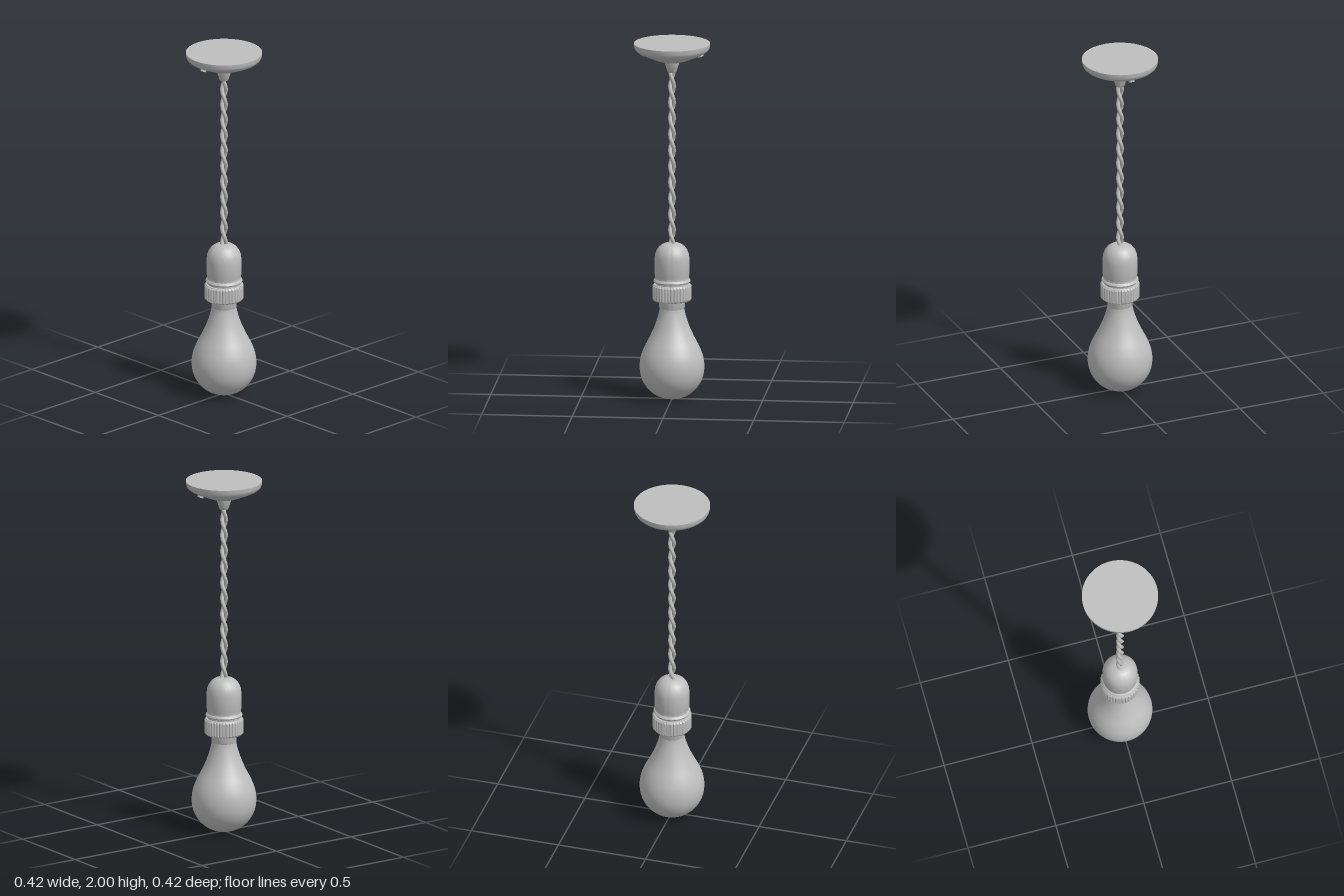
import * as THREE from 'three';
import { toCreasedNormals } from 'three/addons/utils/BufferGeometryUtils.js';

const grey = new THREE.MeshStandardMaterial({ color: 0xbebebe });
grey.name = 'plain grey';

const V2 = (p) => new THREE.Vector2(p[0], p[1]);

function part(name, geometry) {
  const mesh = new THREE.Mesh(geometry, grey);
  mesh.name = name;
  return mesh;
}

// Turned part, profile given from bottom to top as [radius, height]
function turned(name, profile, segments = 64) {
  const geometry = new THREE.LatheGeometry(profile.map(V2), segments);
  return part(name, toCreasedNormals(geometry, 0.6));
}

// Glass bulb: a smooth spline from the bottom tip to the neck
function makeBulb() {
  const points = [
    [0, 0], [0.05, 0.007], [0.1, 0.03], [0.142, 0.07], [0.169, 0.122], [0.178, 0.18],
    [0.171, 0.238], [0.151, 0.292], [0.124, 0.345], [0.101, 0.395], [0.083, 0.445],
    [0.072, 0.485], [0.067, 0.515],
  ].map(V2);
  const profile = new THREE.SplineCurve(points).getPoints(48);
  profile.forEach((p) => { p.x = Math.max(p.x, 0); p.y = Math.max(p.y, 0); });
  return part('bulb', new THREE.LatheGeometry(profile, 64));
}

// Hollow clamping collar with shallow flutes around its outer wall
function makeCollar() {
  const profile = [
    [0.086, 0.64], [0.086, 0.555], [0.1, 0.555], [0.108, 0.564],
    [0.108, 0.636], [0.1, 0.646], [0.08, 0.646],
  ].map(V2);
  const geometry = new THREE.LatheGeometry(profile, 144);
  const pos = geometry.attributes.position;
  for (let i = 0; i < pos.count; i++) {
    const column = Math.floor(i / profile.length);
    const radius = Math.hypot(pos.getX(i), pos.getZ(i));
    if (radius > 0.105 && column % 4 === 0) {
      const k = (radius - 0.005) / radius;
      pos.setX(i, pos.getX(i) * k);
      pos.setZ(i, pos.getZ(i) * k);
    }
  }
  return part('flutedCollar', toCreasedNormals(geometry, 0.4));
}

// One strand of the twisted flex
function makeStrand(phase) {
  const bottom = 0.86, top = 1.85, turns = 5.5;
  const points = [];
  for (let i = 0; i <= 110; i++) {
    const t = i / 110;
    const a = phase + t * turns * Math.PI * 2;
    points.push(new THREE.Vector3(
      Math.cos(a) * 0.0105, bottom + (top - bottom) * t, Math.sin(a) * 0.0105));
  }
  const curve = new THREE.CatmullRomCurve3(points);
  return part('cordStrand', new THREE.TubeGeometry(curve, 220, 0.0108, 12));
}

// Slotted screw head, its axis along local +y
function makeScrew() {
  const screw = new THREE.Group();
  screw.name = 'canopyScrew';
  screw.add(part('screwBase', new THREE.CylinderGeometry(0.017, 0.017, 0.012, 24)));
  const half = new THREE.Shape();
  half.absarc(0, 0, 0.0165, 0.15, Math.PI - 0.15, false);
  half.closePath();
  const geometry = new THREE.ExtrudeGeometry(half, { depth: 0.005, bevelEnabled: false, curveSegments: 16 });
  geometry.rotateX(-Math.PI / 2);
  for (const turn of [0, Math.PI]) {
    const side = part('screwHeadHalf', geometry);
    side.position.y = 0.006;
    side.rotation.y = turn;
    screw.add(side);
  }
  return screw;
}

export function createModel() {
  const model = new THREE.Group();
  model.name = 'pendantLamp';

  model.add(makeBulb());

  // Bulb cap, seen between the glass and the collar
  model.add(turned('bulbCap', [
    [0.06, 0.508], [0.068, 0.51], [0.07, 0.514], [0.07, 0.6], [0.0, 0.6],
  ]));

  model.add(makeCollar());

  // Domed lamp holder with a rounded lip at the bottom
  model.add(turned('lampHolder', [
    [0.0, 0.64], [0.09, 0.64], [0.09, 0.655], [0.098, 0.657], [0.102, 0.664], [0.098, 0.672],
    [0.092, 0.676], [0.092, 0.69], [0.096, 0.702], [0.096, 0.788], [0.093, 0.813],
    [0.084, 0.837], [0.07, 0.856], [0.052, 0.869], [0.033, 0.876], [0.02, 0.877], [0.0, 0.877],
  ]));

  // Twisted two-core cord
  const cord = new THREE.Group();
  cord.name = 'twistedCord';
  cord.add(makeStrand(0), makeStrand(Math.PI));
  model.add(cord);

  // Tapered cord grip below the canopy
  model.add(turned('cordGrip', [
    [0.0, 1.836], [0.022, 1.836], [0.025, 1.84], [0.041, 1.89], [0.044, 1.905], [0.0, 1.905],
  ], 48));

  // Ceiling canopy
  model.add(turned('ceilingCanopy', [
    [0.0, 1.896], [0.05, 1.896], [0.075, 1.903], [0.11, 1.917], [0.145, 1.932], [0.172, 1.944],
    [0.19, 1.954], [0.202, 1.965], [0.208, 1.978], [0.21, 2.0], [0.0, 2.0],
  ], 96));

  // Pair of canopy screws
  for (const side of [-1, 1]) {
    const screw = makeScrew();
    screw.position.set(side * 0.155, 1.938, 0);
    screw.quaternion.setFromUnitVectors(
      new THREE.Vector3(0, 1, 0), new THREE.Vector3(side * 0.38, -0.925, 0).normalize());
    model.add(screw);
  }
  return model;
}
